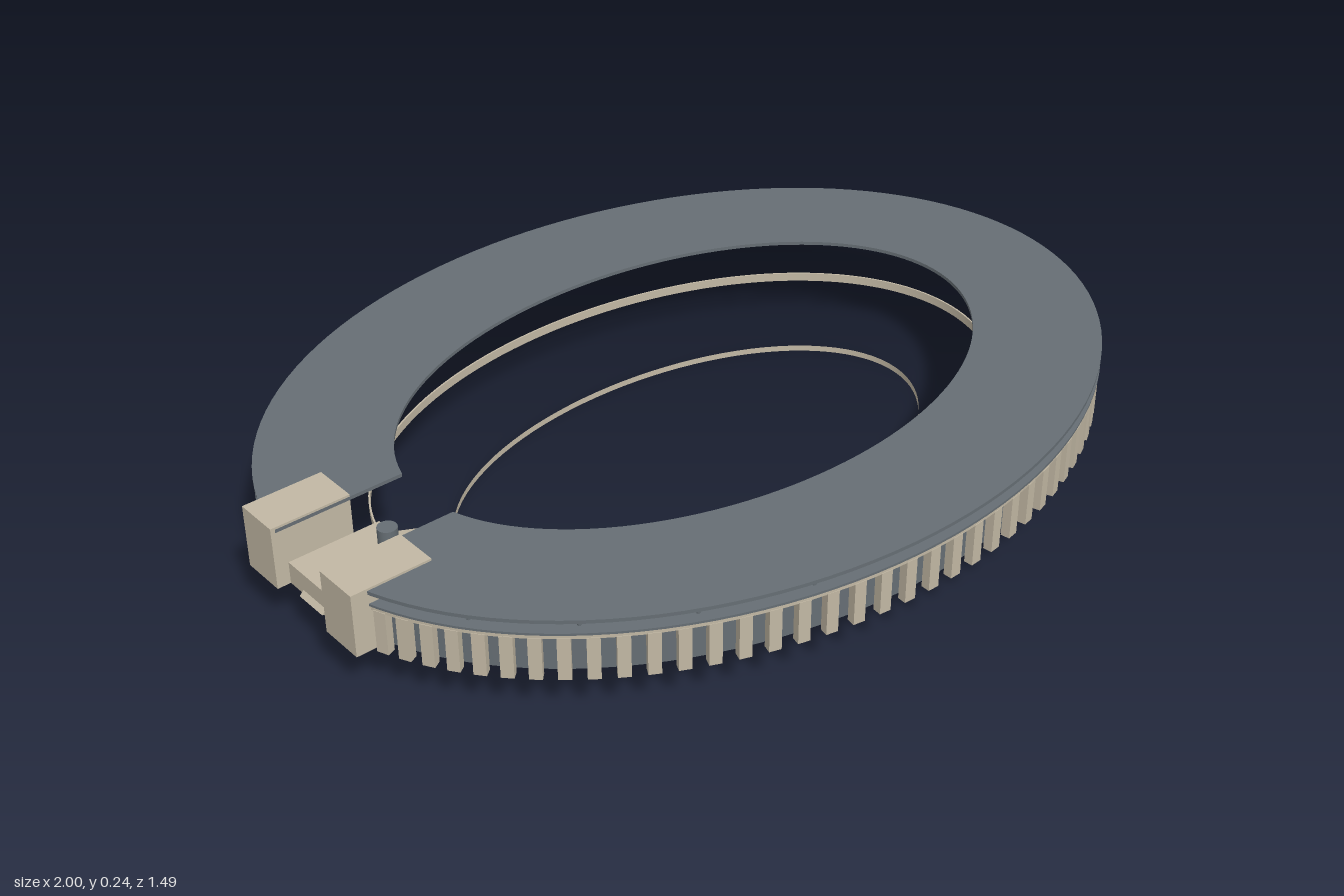
import * as THREE from 'three';
import { toCreasedNormals } from 'three/addons/utils/BufferGeometryUtils.js';

export function createModel() {
  const model = new THREE.Group();
  const stone = new THREE.MeshStandardMaterial({ color: 0xc2b8a4 });
  stone.name = 'warm stone';
  const slate = new THREE.MeshStandardMaterial({ color: 0x666e74 });
  slate.name = 'slate grey';

  const add = (name, geometry, material, x = 0, y = 0, z = 0) => {
    const mesh = new THREE.Mesh(geometry, material);
    mesh.name = name;
    mesh.position.set(x, y, z);
    model.add(mesh);
    return mesh;
  };
  const box = (name, mat, x0, x1, y0, y1, z0, z1) =>
    add(name, new THREE.BoxGeometry(x1 - x0, y1 - y0, z1 - z0), mat,
      (x0 + x1) / 2, (y0 + y1) / 2, (z0 + z1) / 2);

  // Elliptical ring from y0 to y1, with a straight-sided gap at the -x end
  const ring = (name, mat, [ax, az], [bx, bz], y0, y1, gap) => {
    const N = 120;
    const loop = (rx, rz) => {
      const end = Math.PI - Math.asin(gap / rz);
      return Array.from({ length: N + 1 }, (_, i) => {
        const t = -end + (2 * end * i) / N;
        return new THREE.Vector2(rx * Math.cos(t), rz * Math.sin(t));
      });
    };
    const shape = new THREE.Shape([...loop(ax, az), ...loop(bx, bz).reverse()]);
    const geo = new THREE.ExtrudeGeometry(shape, { depth: y1 - y0, bevelEnabled: false });
    geo.rotateX(-Math.PI / 2);
    return add(name, toCreasedNormals(geo, 0.5), mat, 0, y0, 0);
  };

  // Roof canopy, cornice and outer wall
  ring('roof', slate, [0.997, 0.745], [0.71, 0.46], 0.229, 0.237, 0.087);
  ring('cornice', stone, [0.993, 0.743], [0.945, 0.695], 0.192, 0.202, 0.1);
  ring('corniceCap', slate, [0.996, 0.746], [0.945, 0.695], 0.202, 0.207, 0.1);
  ring('outerWall', slate, [0.965, 0.715], [0.955, 0.705], 0.1, 0.193, 0.1);

  // Inner stand rails
  ring('upperRail', stone, [0.92, 0.67], [0.916, 0.666], 0.15, 0.17, 0.09);
  ring('standRail', stone, [0.772, 0.522], [0.768, 0.518], 0.1, 0.12, 0.06);

  // Low kerb around the arena floor: an open vertical band
  const kerbGeo = new THREE.CylinderGeometry(1, 1, 0.014, 96, 1, true).scale(0.6, 1, 0.35);
  const kerbStone = stone.clone();
  kerbStone.side = THREE.DoubleSide;
  add('arenaKerb', kerbGeo, kerbStone, 0, 0.008, 0);

  // Columns around the facade, turned to face outwards
  const columns = new THREE.Group();
  columns.name = 'columns';
  const columnGeo = new THREE.BoxGeometry(0.026, 0.097, 0.02);
  const COUNT = 100;
  for (let i = 0; i < COUNT; i++) {
    const t = ((i + 0.5) / COUNT) * Math.PI * 2;
    const x = 0.984 * Math.cos(t), z = 0.734 * Math.sin(t);
    if (x < 0 && Math.abs(z) < 0.19) continue;
    const column = new THREE.Mesh(columnGeo, stone);
    column.name = 'column';
    column.position.set(x, 0.1455, z);
    column.rotation.y = Math.atan2(Math.cos(t) / 0.984, Math.sin(t) / 0.734);
    columns.add(column);
  }
  model.add(columns);

  // Thin posts carrying the roof
  const postGeo = new THREE.CylinderGeometry(0.004, 0.004, 0.026, 8);
  for (let i = 0; i < 25; i++) {
    if (i === 12) continue;
    const t = ((i + 0.5) / 25) * Math.PI * 2;
    add('roofPost', postGeo, slate, 0.97 * Math.cos(t), 0.217, 0.72 * Math.sin(t));
  }

  // Gate towers either side of the entrance
  for (const s of [-1, 1]) {
    const z0 = s > 0 ? 0.087 : -0.19, z1 = s > 0 ? 0.19 : -0.087;
    box('gateTower', stone, -1, -0.82, 0.1, 0.242, z0, z1);
  }

  // Entrance landing with a small bollard
  box('gateLanding', stone, -0.97, -0.76, 0.1, 0.15, -0.087, 0.087);
  add('bollard', new THREE.CylinderGeometry(0.021, 0.021, 0.05, 20), slate, -0.795, 0.175, 0);

  // Ramp down into the arena, with a sloping underside
  const ramp = new THREE.Shape([
    [-0.98, 0.1], [-0.76, 0.06], [-0.76, 0.002], [-0.58, 0.002], [-0.58, 0.09], [-0.76, 0.15], [-0.96, 0.12],
  ].map(([x, y]) => new THREE.Vector2(x, y)));
  add('entranceRamp', new THREE.ExtrudeGeometry(ramp, { depth: 0.08, bevelEnabled: false }), stone, 0, 0, -0.04);

  return model;
}
